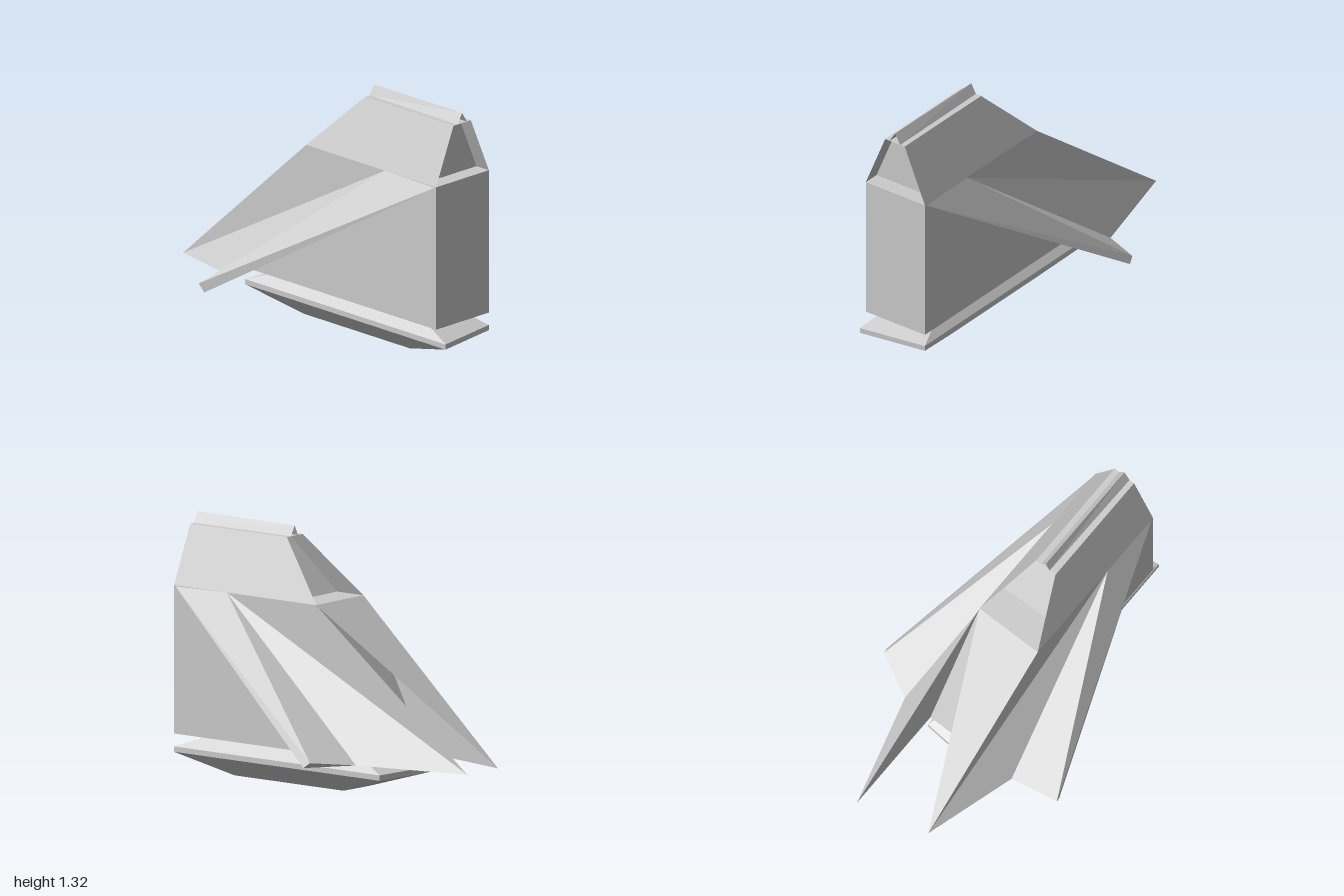
import * as THREE from 'three';

const material = new THREE.MeshStandardMaterial({ color: 0xcccccc, flatShading: true, side: THREE.DoubleSide });

// Mesh from convex faces, each a list of named corners
function facets(name, corners, faces) {
  const pos = [];
  for (const face of faces) {
    const c = face.split(' ').map((k) => corners[k]);
    for (let i = 1; i < c.length - 1; i++) pos.push(...c[0], ...c[i], ...c[i + 1]);
  }
  const geo = new THREE.BufferGeometry();
  geo.setAttribute('position', new THREE.Float32BufferAttribute(pos, 3));
  geo.computeVertexNormals();
  const mesh = new THREE.Mesh(geo, material);
  mesh.name = name;
  return mesh;
}

// Skin over stacked four-cornered rings, closed at both ends
function loft(name, rings) {
  const corners = {}, faces = ['r0_3 r0_2 r0_1 r0_0'];
  rings.forEach((ring, j) => ring.forEach((p, i) => { corners[`r${j}_${i}`] = p; }));
  const e = rings.length - 1;
  for (let j = 0; j < e; j++) {
    for (let i = 0; i < 4; i++) {
      const n = (i + 1) % 4;
      faces.push(`r${j}_${i} r${j}_${n} r${j + 1}_${n} r${j + 1}_${i}`);
    }
  }
  faces.push(`r${e}_0 r${e}_1 r${e}_2 r${e}_3`);
  return facets(name, corners, faces);
}

// Ring at height y: front -x, front +x, back +x, back -x
const ring = (y, x0, x1, zFront0, zFront1, zBack1, zBack0) => [
  [x0, y, zFront0], [x1, y, zFront1], [x1, y, zBack1], [x0, y, zBack0],
];

// Swept wing: leading edge from the body's front corner to an outer tip,
// a ridge from the body's top edge, a tail spike and an inner wall
function wing(name, p) {
  return facets(name, p, [
    'front tipHigh top', 'front tipLow tipHigh', 'top tipHigh mid', 'mid tipHigh tipLow',
    'top mid spike', 'front mid tipLow', 'front root mid', 'spike mid root', 'shoulder spike root',
  ]);
}

export function createModel() {
  const model = new THREE.Group();
  const l = 0.193, r = -0.188;

  // Keel hull, slightly skewed at the front and back
  model.add(loft('keel', [
    ring(0.005, -0.09, 0.095, 0.65, 0.62, -0.1, -0.11),
    ring(0.105, -0.18, 0.193, 1.0, 0.94, -0.42, -0.45),
    ring(0.133, -0.18, 0.193, 1.0, 0.94, -0.42, -0.45),
    ring(0.2, -0.125, 0.13, 0.79, 0.75, -0.25, -0.27),
  ]));

  // Main body with a sloping back
  model.add(loft('body', [
    ring(0.2, r, l, 0.94, 0.94, -0.4, -0.4),
    ring(0.97, r, l, 0.94, 0.94, 0, 0),
  ]));

  // Tail panel from the body's back edge to one spike
  model.add(facets('tailPanel', {
    a: [l, 0.97, 0], b: [r, 0.97, 0], s: [r, 0.17, -0.89],
  }, ['a s b']));

  // Roof: two leaning sides and a top, with recessed end walls
  model.add(facets('roof', {
    lf: [r, 0.97, 0.94], lb: [r, 0.97, 0], rf: [l, 0.97, 0.94], rb: [l, 0.97, 0],
    tlf: [-0.063, 1.272, 0.94], tlb: [-0.063, 1.272, 0.3],
    trf: [0.063, 1.272, 0.94], trb: [0.063, 1.272, 0.3],
  }, ['rf rb trb trf', 'lb lf tlf tlb', 'tlf trf trb tlb']));
  model.add(facets('roofEndWalls', {
    a: [r, 0.97, 0.85], b: [l, 0.97, 0.85], c: [0.063, 1.272, 0.85], d: [-0.063, 1.272, 0.85],
    e: [l, 0.97, 0.165], f: [r, 0.97, 0.175], g: [-0.063, 1.272, 0.4], h: [0.063, 1.272, 0.4],
  }, ['a b c d', 'e f g h']));

  // Open ridge cap along the roof, a little narrower at the back
  model.add(facets('ridge', {
    lf: [-0.034, 1.272, 0.94], lb: [-0.025, 1.272, 0.3], rf: [0.034, 1.272, 0.94],
    rb: [0.03, 1.272, 0.3], tf: [0, 1.327, 0.94], tb: [0, 1.325, 0.3],
  }, ['rf rb tb tf', 'lb lf tf tb']));

  // Wings, a little uneven from side to side
  model.add(wing('leftWing', {
    front: [l, 0.965, 0.93], top: [l, 0.97, 0.59], shoulder: [l, 0.97, 0], root: [l, 0.2, -0.4],
    spike: [l, 0.2, -1], mid: [0.36, 0.205, -0.4],
    tipHigh: [0.59, 0.235, -0.285], tipLow: [0.6, 0.207, -0.25],
  }));
  model.add(wing('rightWing', {
    front: [r, 0.965, 0.93], top: [r, 0.97, 0.57], shoulder: [r, 0.97, 0], root: [r, 0.2, -0.4],
    spike: [r, 0.17, -0.89], mid: [-0.34, 0.2, -0.4],
    tipHigh: [-0.605, 0.235, -0.36], tipLow: [-0.595, 0.19, -0.33],
  }));

  return model;
}
